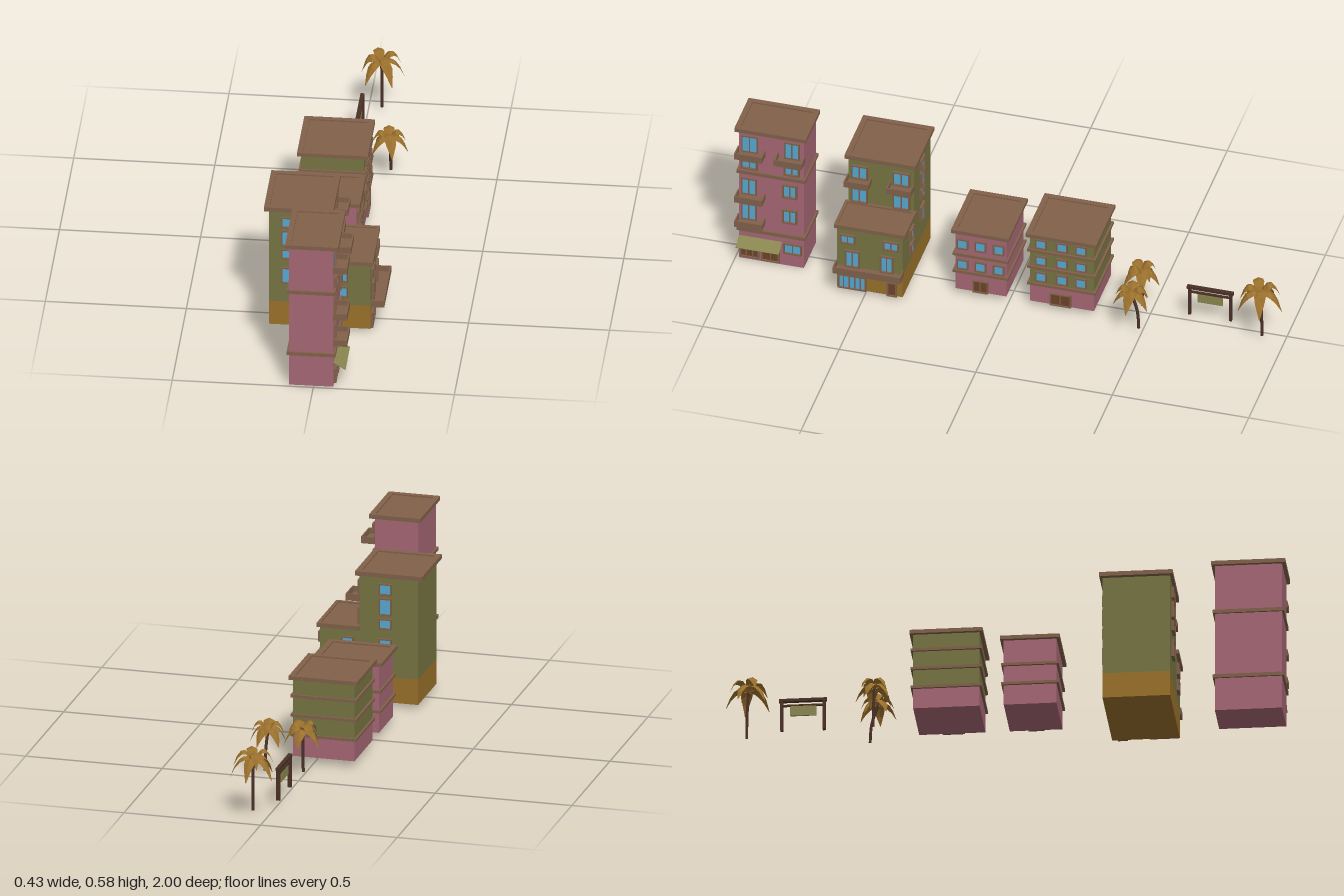
import * as THREE from 'three';

const mat = (color, extra = {}) => new THREE.MeshStandardMaterial({ color, ...extra });
const PINK = mat(0xa46673), OLIVE = mat(0x767341), TAN = mat(0x98702a), BROWN = mat(0x80604a),
  DARK = mat(0x4a3026), DOOR = mat(0x6e4226), GLASS = mat(0x58a8d0), SIGN = mat(0x8a8650),
  LEAF = mat(0x9a702c, { side: THREE.DoubleSide, flatShading: true }), TRUNK = mat(0x4a3028, { flatShading: true });

// Box from its limits on each axis
function box(parent, name, m, [x0, x1], [y0, y1], [z0, z1]) {
  const mesh = new THREE.Mesh(new THREE.BoxGeometry(x1 - x0, y1 - y0, z1 - z0), m);
  mesh.position.set((x0 + x1) / 2, (y0 + y1) / 2, (z0 + z1) / 2);
  mesh.name = name;
  parent.add(mesh);
  return mesh;
}

function group(parent, name) {
  const g = new THREE.Group();
  g.name = name;
  parent.add(g);
  return g;
}

// Framed opening on a wall: side 'x', 'z' or '-z'; wall = wall position; a0..a1 along the wall
function opening(parent, name, side, wall, [a0, a1], [y0, y1], { panes = 1, fill = GLASS, depth = 0.01, t = 0.005 } = {}) {
  const g = group(parent, name), w = a1 - a0, h = y1 - y0, mid = (a0 + a1) / 2;
  if (side === 'x') { g.position.set(wall, y0, mid); g.rotation.y = Math.PI / 2; }
  else { g.position.set(mid, y0, wall); if (side === '-z') g.rotation.y = Math.PI; }
  const d = [-0.003, depth];
  box(g, 'pane', fill, [-w / 2 + t, w / 2 - t], [t, h - t], [-0.003, 0.004]);
  box(g, 'frameBottom', BROWN, [-w / 2, w / 2], [0, t], d);
  box(g, 'frameTop', BROWN, [-w / 2, w / 2], [h - t, h], d);
  for (const s of [-1, 1]) {
    const x = s * (w / 2 - t / 2);
    box(g, 'frameSide', BROWN, [x - t / 2, x + t / 2], [t, h - t], d);
  }
  for (let i = 1; i < panes; i++) {
    const x = -w / 2 + (w * i) / panes;
    box(g, 'mullion', BROWN, [x - 0.002, x + 0.002], [t, h - t], [-0.003, 0.007]);
  }
}

// Flat roof slab with a low raised rim
function roof(parent, [x0, x1], [y0, y1], [z0, z1], rim = 0.02) {
  const g = group(parent, 'roof'), m = y1 - 0.005;
  box(g, 'roofSlab', BROWN, [x0, x1], [y0, m], [z0, z1]);
  box(g, 'rimLeft', BROWN, [x1 - rim, x1], [m, y1], [z0, z1]);
  box(g, 'rimRight', BROWN, [x0, x0 + rim], [m, y1], [z0, z1]);
  box(g, 'rimFront', BROWN, [x0 + rim, x1 - rim], [m, y1], [z1 - rim, z1]);
  box(g, 'rimBack', BROWN, [x0 + rim, x1 - rim], [m, y1], [z0, z0 + rim]);
}

// Open-topped balcony on a +x wall
function balcony(parent, [x0, x1], [y0, y1], [z0, z1]) {
  const g = group(parent, 'balcony'), t = 0.005;
  box(g, 'balconyFloor', BROWN, [x0, x1], [y0, y0 + t], [z0, z1]);
  box(g, 'balconyFront', BROWN, [x1 - t, x1], [y0 + t, y1], [z0, z1]);
  box(g, 'balconySide', BROWN, [x0, x1 - t], [y0 + t, y1], [z0, z0 + t]);
  box(g, 'balconySide', BROWN, [x0, x1 - t], [y0 + t, y1], [z1 - t, z1]);
}

function tower(root) {
  const g = group(root, 'pinkTower'), X = 0.07;
  box(g, 'walls', PINK, [-0.088, X], [0, 0.562], [0.75, 0.988]);
  for (const y of [0.124, 0.375]) box(g, 'belt', BROWN, [-0.095, 0.078], [y, y + 0.013], [0.743, 0.995]);
  roof(g, [-0.1, 0.088], [0.561, 0.576], [0.738, 1]);
  const front = [0.918, 0.978], back = [0.765, 0.822];
  for (const z of [front, back]) {
    opening(g, 'balconyDoor', 'x', X, z, [0.47, 0.54], { panes: 2, depth: 0.005 });
    opening(g, 'window', 'x', X, z, [0.4, 0.438], { panes: 2, depth: 0.012 });
  }
  for (const y of [0.285, 0.175]) {
    opening(g, 'balconyDoor', 'x', X, [0.922, 0.978], [y, y + 0.07], { panes: 2, depth: 0.006 });
    opening(g, 'window', 'x', X, [0.774, 0.826], [y + 0.015, y + 0.073], { panes: 2, depth: 0.012 });
  }
  for (const [y, z] of [[0.464, 0.89], [0.464, 0.745], [0.275, 0.89], [0.168, 0.89]])
    balcony(g, [X, 0.119], [y, y + 0.025], [z, z + 0.102]);
  opening(g, 'groundWindow', 'x', X, [0.757, 0.823], [0.055, 0.1], { panes: 2 });
  opening(g, 'shopWindow', 'x', X, [0.912, 0.983], [0.012, 0.07], { panes: 3, fill: DOOR });
  opening(g, 'entrance', 'x', X, [0.838, 0.904], [0.008, 0.07], { panes: 2, fill: DOOR });
  // Sloping awning
  const awning = box(g, 'awning', SIGN, [-0.025, 0.025], [-0.001, 0.001], [0.83, 0.988]);
  awning.position.x = 0.0915;
  awning.position.y = 0.085;
  awning.rotation.z = -0.54;
}

function steppedBuilding(root) {
  const g = group(root, 'steppedBuilding'), z = [0.362, 0.602], low = 0.163, high = 0.018;
  box(g, 'groundFloor', TAN, [-0.197, low], [0.016, 0.11], z);
  box(g, 'mainWalls', OLIVE, [-0.197, high], [0.11, 0.482], z);
  box(g, 'frontWalls', OLIVE, [high, low], [0.11, 0.278], z);
  roof(g, [-0.214, 0.032], [0.481, 0.497], [0.352, 0.612]);
  roof(g, [high, 0.172], [0.277, 0.292], [0.352, 0.612], 0.012);
  // Upper storeys with balconies
  for (const a of [[0.53, 0.59], [0.375, 0.438]]) {
    opening(g, 'window', 'x', high, a, [0.395, 0.453], { panes: 2 });
    opening(g, 'window', 'x', high, a, [0.293, 0.355], { panes: 2 });
  }
  for (const b of [0.36, 0.515]) balcony(g, [high, 0.068], [0.383, 0.408], [b, b + 0.09]);
  // Front block
  for (const a of [[0.535, 0.59], [0.375, 0.433]]) opening(g, 'window', 'x', low, a, [0.214, 0.253], { panes: 2 });
  for (const a of [[0.518, 0.572], [0.396, 0.444]]) opening(g, 'balconyDoor', 'x', low, a, [0.115, 0.186], { panes: 2 });
  balcony(g, [low, 0.212], [0.108, 0.134], [0.358, 0.606]);
  opening(g, 'shopFront', 'x', low, [0.495, 0.598], [0.018, 0.078], { panes: 5, depth: 0.009 });
  opening(g, 'door', 'x', low, [0.382, 0.418], [0.016, 0.076], { fill: DOOR, depth: 0.009 });
  // Side windows
  for (const [side, wall, c] of [['z', z[1], -0.129], ['-z', z[0], -0.078]]) {
    for (const y of [[0.415, 0.458], [0.34, 0.404], [0.288, 0.328], [0.188, 0.253]])
      opening(g, 'sideWindow', side, wall, [c - 0.024, c + 0.024], y);
    for (const y of [[0.205, 0.25], [0.143, 0.187]]) opening(g, 'sideWindow', side, wall, [0.038, 0.083], y);
  }
}

// Small block: three window columns per storey, belts and a central door
function block(root, name, walls, [z0, z1], top, belts, rows, cols, door) {
  const g = group(root, name), x = [-0.152, 0.072];
  box(g, 'groundFloor', PINK, x, [0.025, belts[0]], [z0 + 0.012, z1 - 0.012]);
  box(g, 'walls', walls, x, [belts[0], top - 0.012], [z0 + 0.012, z1 - 0.012]);
  for (const y of belts) box(g, 'belt', BROWN, [-0.16, 0.08], [y, y + 0.01], [z0 + 0.004, z1 - 0.004]);
  roof(g, [-0.165, 0.086], [top - 0.014, top], [z0, z1]);
  for (const y of rows) for (const c of cols) opening(g, 'window', 'x', 0.072, [c - 0.021, c + 0.021], y, { depth: 0.008 });
  opening(g, 'door', 'x', 0.072, door, [0.025, 0.077], { panes: 2, fill: DOOR, depth: 0.008 });
}

// Drooping folded frond along +x, made from cross-sections
function frondGeometry(len, rise, droop) {
  const n = 5, pos = [], idx = [];
  for (let i = 0; i <= n; i++) {
    const t = i / n, w = 0.019 * Math.sin(Math.PI * Math.min(1, 0.1 + 0.9 * t)) + 0.001;
    const y = rise * Math.sin(Math.PI * t * 0.75) - droop * t * t;
    pos.push(len * t, y - w * 0.5, -w, len * t, y, 0, len * t, y - w * 0.5, w);
    if (i < n) for (const k of [0, 1]) {
      const a = i * 3 + k;
      idx.push(a, a + 1, a + 3, a + 1, a + 4, a + 3);
    }
  }
  const geo = new THREE.BufferGeometry();
  geo.setAttribute('position', new THREE.Float32BufferAttribute(pos, 3));
  geo.setIndex(idx);
  geo.computeVertexNormals();
  return geo;
}

function palm(root, [x, z], [bx, bz], crown, size, turn) {
  const g = group(root, 'palm');
  const path = new THREE.CatmullRomCurve3([new THREE.Vector3(bx, 0.025, bz),
    new THREE.Vector3(bx * 0.8 + x * 0.2, (crown + 0.025) / 2, bz * 0.8 + z * 0.2), new THREE.Vector3(x, crown, z)]);
  const trunk = new THREE.Mesh(new THREE.TubeGeometry(path, 8, 0.0055, 6), TRUNK);
  trunk.name = 'trunk';
  g.add(trunk);
  const fan = (count, len, rise, droop, offset) => {
    const geo = frondGeometry(len * size, rise * size, droop * size);
    for (let i = 0; i < count; i++) {
      const leaf = new THREE.Mesh(geo, LEAF);
      leaf.name = 'frond';
      leaf.position.set(x, crown, z);
      leaf.rotation.y = turn + offset + (i * 2 * Math.PI) / count;
      g.add(leaf);
    }
  };
  fan(5, 0.067, 0.03, 0.07, 0);
  fan(4, 0.058, 0.05, 0.045, 0.5);
}

function signFrame(root) {
  const g = group(root, 'signFrame'), x = [-0.014, 0];
  for (const z of [-0.797, -0.647]) box(g, 'post', DARK, x, [0.025, 0.137], [z, z + 0.01]);
  box(g, 'topBeam', DARK, x, [0.136, 0.147], [-0.802, -0.632]);
  box(g, 'lowerBeam', DARK, [-0.011, -0.003], [0.119, 0.125], [-0.787, -0.647]);
  box(g, 'signBoard', SIGN, [-0.01, -0.004], [0.082, 0.12], [-0.762, -0.67]);
}

export function createModel() {
  const root = new THREE.Group();
  root.name = 'streetRow';
  tower(root);
  steppedBuilding(root);
  block(root, 'pinkBlock', PINK, [-0.004, 0.207], 0.288, [0.1, 0.174],
    [[0.204, 0.247], [0.116, 0.158]], [0.168, 0.102, 0.035], [0.074, 0.13]);
  block(root, 'oliveBlock', OLIVE, [-0.325, -0.066], 0.325, [0.1, 0.173, 0.245],
    [[0.262, 0.302], [0.19, 0.23], [0.118, 0.16]], [-0.12, -0.196, -0.266], [-0.23, -0.152]);
  palm(root, [-0.005, -0.465], [-0.008, -0.468], 0.175, 1, 0.3);
  palm(root, [0.122, -0.465], [0.125, -0.492], 0.168, 1, 1.2);
  palm(root, [0.05, -0.915], [0.05, -0.922], 0.208, 1.22, 1.5);
  signFrame(root);
  return root;
}
